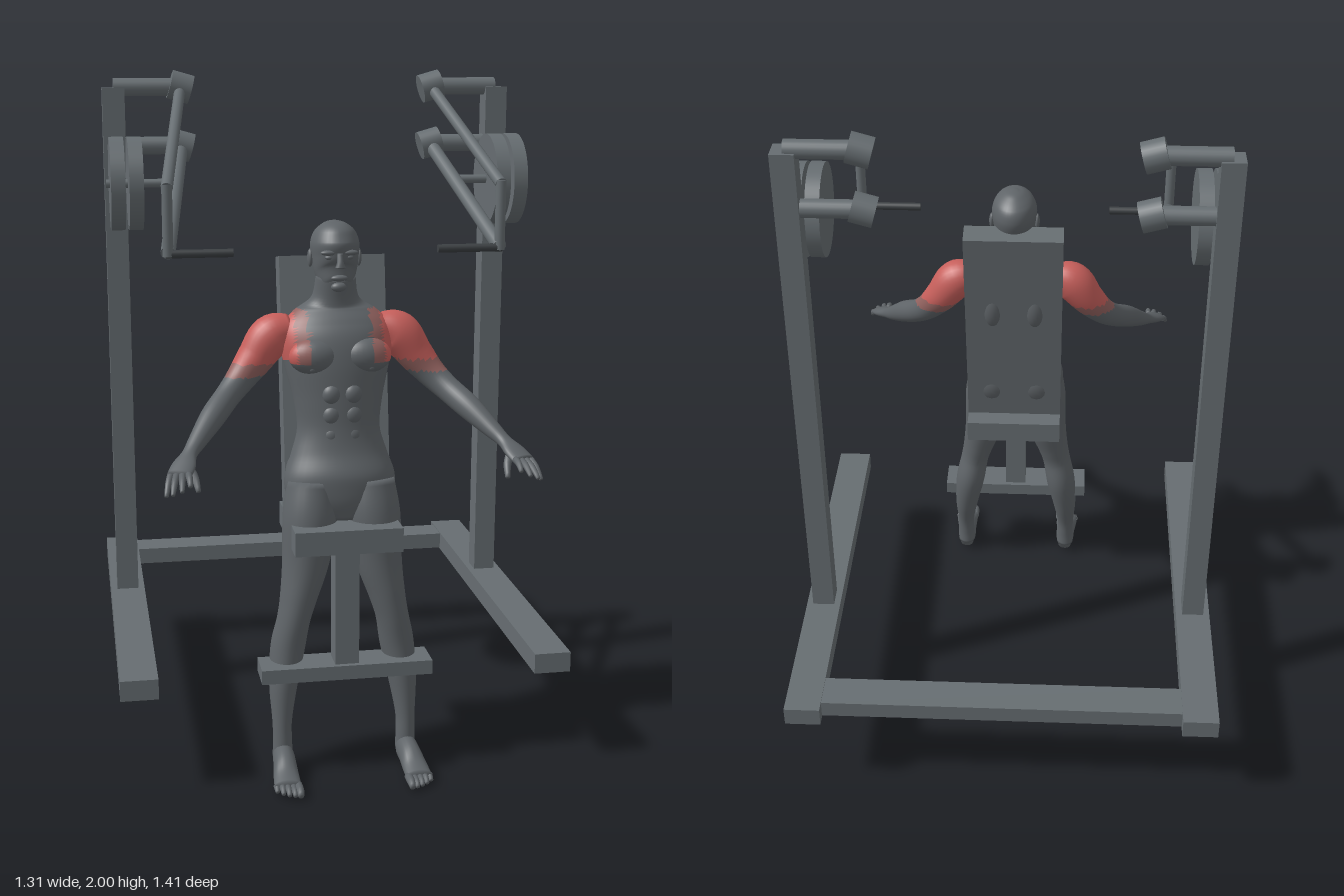
import * as THREE from 'three';

const V = (p) => new THREE.Vector3(...p);
const material = (name, color) => {
  const m = new THREE.MeshStandardMaterial({ color });
  m.name = name;
  return m;
};

export function createModel() {
  const steel = material('steel grey', 0x666d71);
  const grip = material('dark grip', 0x3c4043);
  const skin = material('body grey', 0x5f6468);
  const muscle = material('muscle red', 0xc65f5b);
  const blend = material('muscle fade', 0x92625f);

  const model = new THREE.Group();
  model.name = 'shoulderPressMachine';
  const machine = new THREE.Group();
  machine.name = 'machine';
  const figure = new THREE.Group();
  figure.name = 'figure';
  model.add(machine, figure);

  const add = (parent, name, geo, mat) => {
    const mesh = new THREE.Mesh(geo, mat);
    mesh.name = name;
    parent.add(mesh);
    return mesh;
  };
  // box given by its min and max corners
  const box = (name, a, b) => {
    const mesh = add(machine, name, new THREE.BoxGeometry(b[0] - a[0], b[1] - a[1], b[2] - a[2]), steel);
    mesh.position.set((a[0] + b[0]) / 2, (a[1] + b[1]) / 2, (a[2] + b[2]) / 2);
    return mesh;
  };
  // round bar between two points
  const bar = (parent, name, a, b, r, mat = steel, sides = 20) => {
    const d = V(b).sub(V(a));
    const mesh = add(parent, name, new THREE.CylinderGeometry(r, r, d.length(), sides), mat);
    mesh.position.copy(V(a)).addScaledVector(d, 0.5);
    mesh.quaternion.setFromUnitVectors(new THREE.Vector3(0, 1, 0), d.normalize());
    return mesh;
  };

  // ---- frame, seat and back pad ----
  box('rearCrossBar', [-0.56, 0.29, -0.67], [0.56, 0.343, -0.565]);
  box('seatPad', [-0.155, 0.675, 0.243], [0.155, 0.745, 0.562]);
  box('seatPost', [-0.035, 0.32, 0.455], [0.035, 0.68, 0.53]);
  box('footBar', [-0.25, 0.29, 0.44], [0.25, 0.332, 0.545]);
  const pad = box('backPad', [-0.155, 0, 0], [0.155, 0.78, 0.076]);
  pad.position.set(0, 1.094, 0.286);
  pad.rotation.x = -0.165;

  // ---- posts, levers, plates on both sides ----
  for (const s of [-1, 1]) {
    const p = (x, y, z) => [s * x, y, z];
    const rail = box('sideRail', [-0.054, 0.286, -0.705], [0.054, 0.346, 0.585]);
    rail.position.x = s * 0.601;
    const post = box('post', [-0.034, 0.34, -0.235], [0.034, 1.95, -0.165]);
    post.position.x = s * 0.601;

    for (const y of [1.952, 1.775]) {
      bar(machine, 'pivotShaft', p(0.6, y, -0.2), p(0.4, y, -0.2), 0.027);
      bar(machine, 'pivotHub', p(0.427, y + 0.009, -0.2), p(0.363, y - 0.009, -0.2), 0.044, steel, 28);
    }
    bar(machine, 'upperArm', p(0.395, 1.952, -0.2), p(0.478, 1.69, 0.337), 0.017);
    bar(machine, 'lowerArm', p(0.395, 1.775, -0.2), p(0.478, 1.51, 0.337), 0.021);
    bar(machine, 'frontLink', p(0.478, 1.7, 0.337), p(0.478, 1.5, 0.337), 0.015);
    bar(machine, 'handle', p(0.485, 1.507, 0.337), p(0.295, 1.507, 0.337), 0.012, grip);

    bar(machine, 'plateRod', p(0.43, 1.675, -0.013), p(0.635, 1.675, -0.013), 0.013);
    bar(machine, 'innerPlate', p(0.529, 1.675, -0.013), p(0.571, 1.675, -0.013), 0.138, steel, 48);
    bar(machine, 'outerPlate', p(0.582, 1.675, -0.013), p(0.624, 1.675, -0.013), 0.138, steel, 48);
  }

  // sorts faces into body, fade and muscle colours by a rule on their centres
  const paint = (geo, rule) => {
    const pos = geo.attributes.position, idx = geo.index.array, lists = [[], [], []];
    const c = new THREE.Vector3(), q = new THREE.Vector3();
    for (let i = 0; i < idx.length; i += 3) {
      c.set(0, 0, 0);
      for (let k = 0; k < 3; k++) c.add(q.fromBufferAttribute(pos, idx[i + k]));
      lists[rule(c.divideScalar(3))].push(idx[i], idx[i + 1], idx[i + 2]);
    }
    geo.setIndex(lists.flat());
    let start = 0;
    lists.forEach((l, m) => {
      if (l.length) geo.addGroup(start, l.length, m);
      start += l.length;
    });
    return geo;
  };
  const shoulderZone = (c) => {
    const d = Math.abs(c.x);
    if (c.y < 1.155 || c.y > 1.34 || d < 0.09) return 0;
    return d < 0.125 || c.y < 1.19 ? 1 : 2;
  };
  const torsoZone = (c) => (c.y > 1.2 ? shoulderZone(c) : 0);
  const finish = (name, geo, rule) =>
    add(figure, name, rule ? paint(geo, rule) : geo, rule ? [skin, blend, muscle] : skin);

  // smooth skin through elliptical sections [x, y, z, r1, r2]
  const loft = (name, sections, { ref = [0, 0, 1], steps = 6, sides = 28, rule } = {}) => {
    const path = new THREE.CatmullRomCurve3(sections.map((k) => V(k)), false, 'catmullrom');
    const radii = new THREE.CatmullRomCurve3(sections.map((k) => V([k[3], k[4] ?? k[3], 0])), false, 'catmullrom');
    const rings = (sections.length - 1) * steps, pos = [], idx = [];
    for (let i = -1; i <= rings + 1; i++) {
      const t = Math.min(Math.max(i / rings, 0), 1);
      const c = path.getPoint(t), r = radii.getPoint(t), tan = path.getTangent(t);
      if (i < 0 || i > rings) r.set(1e-4, 1e-4, 0);
      const u = tan.clone().cross(V(ref)).normalize(), v = u.clone().cross(tan);
      for (let j = 0; j < sides; j++) {
        const a = (j / sides) * Math.PI * 2;
        const q = c.clone().addScaledVector(u, r.x * Math.cos(a)).addScaledVector(v, r.y * Math.sin(a));
        pos.push(q.x, q.y, q.z);
      }
    }
    for (let i = 0; i < rings + 2; i++) {
      for (let j = 0; j < sides; j++) {
        const a = i * sides + j, b = i * sides + ((j + 1) % sides);
        idx.push(a, a + sides, b, b, a + sides, b + sides);
      }
    }
    const geo = new THREE.BufferGeometry();
    geo.setAttribute('position', new THREE.Float32BufferAttribute(pos, 3));
    geo.setIndex(idx);
    geo.computeVertexNormals();
    return finish(name, geo, rule);
  };
  const blob = (name, c, r, rule) =>
    finish(name, new THREE.SphereGeometry(1, 28, 20).scale(...r).translate(...c), rule);

  // ---- torso and neck ----
  loft('torso', [
    [0, 0.74, 0.42, 0.06, 0.06], [0, 0.8, 0.41, 0.148, 0.085], [0, 0.86, 0.395, 0.162, 0.098],
    [0, 0.93, 0.382, 0.14, 0.083], [0, 1.0, 0.372, 0.121, 0.079], [0, 1.08, 0.362, 0.129, 0.084],
    [0, 1.17, 0.345, 0.15, 0.096], [0, 1.24, 0.33, 0.165, 0.097], [0, 1.29, 0.318, 0.16, 0.083],
    [0, 1.335, 0.31, 0.12, 0.062], [0, 1.37, 0.312, 0.07, 0.055], [0, 1.44, 0.322, 0.056, 0.054],
  ], { sides: 40, rule: torsoZone });

  // ---- head and face ----
  loft('head', [
    [0, 1.397, 0.363, 0.018, 0.016], [0, 1.412, 0.347, 0.044, 0.04], [0, 1.445, 0.322, 0.06, 0.067],
    [0, 1.485, 0.309, 0.067, 0.085], [0, 1.525, 0.303, 0.07, 0.093], [0, 1.56, 0.302, 0.058, 0.076],
    [0, 1.582, 0.301, 0.033, 0.044], [0, 1.59, 0.301, 0.008, 0.01],
  ], { sides: 36 });
  loft('nose', [[0, 1.505, 0.39, 0.008], [0, 1.48, 0.396, 0.01, 0.012], [0, 1.464, 0.399, 0.016, 0.012]], { sides: 14 });
  blob('lips', [0, 1.435, 0.383], [0.024, 0.009, 0.011]);
  blob('chin', [0, 1.408, 0.372], [0.022, 0.014, 0.015]);

  for (const s of [-1, 1]) {
    const m = (list) => list.map(([x, ...rest]) => [s * x, ...rest]);
    blob('ear', [s * 0.071, 1.484, 0.3], [0.008, 0.026, 0.016]);
    blob('brow', [s * 0.03, 1.507, 0.382], [0.024, 0.008, 0.011]);
    blob('eye', [s * 0.028, 1.493, 0.376], [0.013, 0.007, 0.01]);

    // chest, belly and back muscles
    blob('chestMuscle', [s * 0.074, 1.215, 0.4], [0.074, 0.052, 0.046], torsoZone);
    blob('nipple', [s * 0.085, 1.185, 0.432], [0.009, 0.009, 0.006]);
    for (const y of [0.99, 1.05, 1.11]) blob('bellyMuscle', [s * 0.03, y, 0.43], [0.028, 0.03, 0.022]);
    blob('shoulderBlade', [s * 0.068, 1.2, 0.268], [0.042, 0.085, 0.045]);
    blob('buttock', [s * 0.075, 0.86, 0.362], [0.08, 0.09, 0.08]);

    // arm from shoulder to palm
    loft('arm', m([
      [0.125, 1.285, 0.315, 0.042, 0.042], [0.185, 1.263, 0.315, 0.06, 0.062], [0.235, 1.2, 0.32, 0.055, 0.053],
      [0.28, 1.145, 0.34, 0.042, 0.043], [0.32, 1.105, 0.375, 0.036, 0.038], [0.37, 1.06, 0.44, 0.035, 0.036],
      [0.42, 1.01, 0.51, 0.026, 0.025], [0.445, 0.985, 0.55, 0.022, 0.018], [0.464, 0.965, 0.59, 0.034, 0.016],
      [0.48, 0.947, 0.628, 0.035, 0.013],
    ]), { ref: [0, 1, 0], rule: shoulderZone });

    // fingers fan out from the palm
    const tips = [[0.518, 0.903, 0.672], [0.502, 0.913, 0.695], [0.478, 0.923, 0.702], [0.455, 0.933, 0.69]];
    tips.forEach((tip, i) => {
      const root = [0.503 - i * 0.016, 0.945 + i * 0.002, 0.618 + i * 0.005];
      const mid = root.map((r, k) => (r + tip[k]) / 2 + (k === 1 ? 0.006 : 0));
      loft('finger', m([[...root, 0.01], [...mid, 0.009], [...tip, 0.006]]), { ref: [0, 1, 0], steps: 4, sides: 10 });
    });
    loft('thumb', m([[0.455, 0.965, 0.585, 0.013], [0.437, 0.935, 0.615, 0.011], [0.43, 0.905, 0.645, 0.007]]),
      { ref: [0, 1, 0], steps: 4, sides: 10 });

    // leg and foot
    loft('leg', m([
      [0.085, 0.85, 0.41, 0.072, 0.08], [0.092, 0.75, 0.43, 0.08, 0.084], [0.108, 0.62, 0.441, 0.068, 0.076],
      [0.13, 0.52, 0.453, 0.054, 0.066], [0.146, 0.45, 0.457, 0.048, 0.06], [0.163, 0.36, 0.45, 0.05, 0.061],
      [0.178, 0.25, 0.463, 0.041, 0.05], [0.184, 0.15, 0.48, 0.029, 0.034], [0.184, 0.09, 0.486, 0.028, 0.031],
      [0.184, 0.04, 0.488, 0.03, 0.032],
    ]));
    loft('foot', m([
      [0.183, 0.032, 0.47, 0.022, 0.026], [0.184, 0.042, 0.5, 0.031, 0.041], [0.186, 0.04, 0.55, 0.033, 0.039],
      [0.189, 0.028, 0.6, 0.037, 0.026], [0.191, 0.021, 0.65, 0.039, 0.016],
    ]), { ref: [0, 1, 0], sides: 20 });
    for (let i = 0; i < 5; i++) {
      const x = 0.161 + i * 0.0155, r = i ? 0.009 : 0.012, end = 0.69 - i * i * 0.0022;
      loft('toe', m([[x, 0.02, 0.64, r], [x, 0.021, end - 0.015, r], [x, 0.014, end + 0.008, r * 0.7]]),
        { ref: [0, 1, 0], steps: 3, sides: 10 });
    }
  }
  return model;
}
